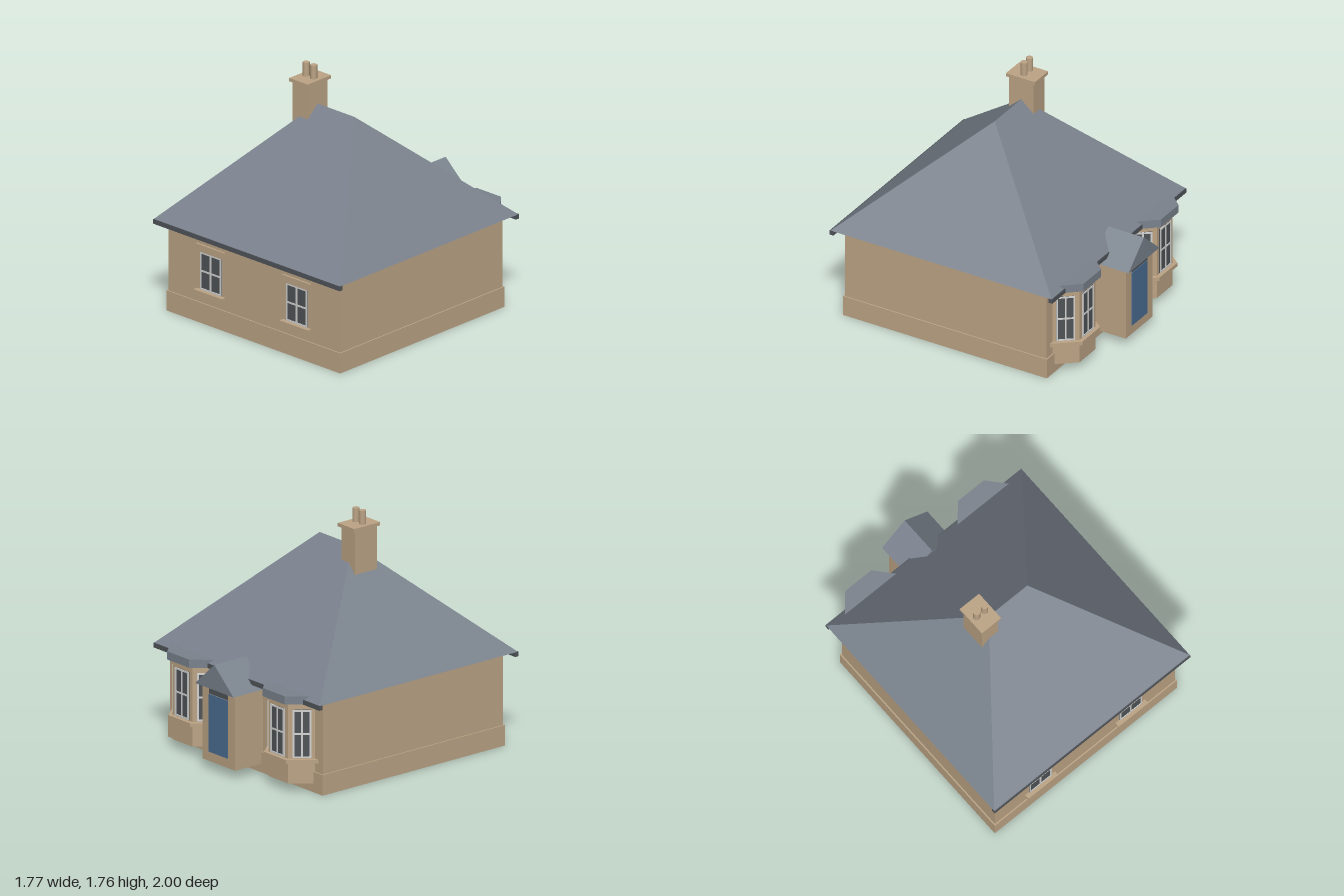
import * as THREE from 'three';

const mat = (name, color) => {
  const m = new THREE.MeshStandardMaterial({ color });
  m.name = name;
  return m;
};

export function createModel() {
  const house = new THREE.Group();
  house.name = 'cottage';
  const stone = mat('sandstone', 0xbca485);
  const slate = mat('slate', 0x7a828d);
  const gutterGrey = mat('gutter grey', 0x50555a);
  const glass = mat('window glass', 0x505458);
  const white = mat('window frame', 0xd2d2d0);
  const blue = mat('door blue', 0x4a6c92);

  const add = (parent, name, geometry, material) => {
    const mesh = new THREE.Mesh(geometry, material);
    mesh.name = name;
    parent.add(mesh);
    return mesh;
  };
  // Box given by its extents on each axis
  const box = (parent, name, material, x0, x1, y0, y1, z0, z1) => {
    const g = new THREE.BoxGeometry(x1 - x0, y1 - y0, z1 - z0);
    g.translate((x0 + x1) / 2, (y0 + y1) / 2, (z0 + z1) / 2);
    return add(parent, name, g, material);
  };

  // Sash window facing +z, centred on its own origin
  const sashWindow = (parent, w, h, x, y, z, turn = 0) => {
    const win = new THREE.Group();
    win.name = 'sashWindow';
    const b = 0.012, d = 0.009;
    box(win, 'pane', glass, -w / 2, w / 2, -h / 2, h / 2, -0.002, 0.004);
    for (const px of [-w / 2 + b / 2, 0, w / 2 - b / 2])
      box(win, 'upright', white, px - b / 2, px + b / 2, -h / 2, h / 2, 0, d);
    for (const py of [-h / 2 + b / 2, 0, h / 2 - b / 2])
      box(win, 'rail', white, -w / 2, w / 2, py - b / 2, py + b / 2, 0, d - 0.0005);
    win.position.set(x, y, z);
    win.rotation.y = turn;
    parent.add(win);
  };

  // Walls and plinth
  box(house, 'walls', stone, -0.815, 0.815, 0.1, 0.685, -0.71, 0.92);
  box(house, 'plinth', stone, -0.825, 0.825, 0, 0.15, -0.72, 0.93);

  // Hipped roof: four eave corners and two ridge ends
  const eave = 0.685, ridge = 1.48;
  const p = [
    [-0.885, eave, 0.995], [0.885, eave, 0.995], [0.885, eave, -0.795], [-0.885, eave, -0.795],
    [-0.175, ridge, 0.1], [0.175, ridge, 0.1],
  ];
  const faces = [0, 1, 5, 0, 5, 4, 1, 2, 5, 2, 3, 4, 2, 4, 5, 3, 0, 4, 0, 3, 2, 0, 2, 1];
  const roof = new THREE.BufferGeometry();
  roof.setAttribute('position', new THREE.Float32BufferAttribute(faces.flatMap(i => p[i]), 3));
  roof.computeVertexNormals();
  add(house, 'mainRoof', roof, slate);

  // Gutters along the front and back eaves
  box(house, 'frontGutter', gutterGrey, -0.885, 0.885, 0.652, 0.686, 0.97, 1.0);
  box(house, 'backGutter', gutterGrey, -0.885, 0.885, 0.652, 0.686, -0.8, -0.77);

  // Chimney stack, cap and pots
  box(house, 'chimneyStack', stone, -0.32, -0.175, 1.0, 1.64, 0, 0.2);
  box(house, 'chimneyCap', stone, -0.335, -0.16, 1.635, 1.66, -0.02, 0.215);
  for (const x of [-0.283, -0.212]) {
    const pot = add(house, 'chimneyPot', new THREE.CylinderGeometry(0.025, 0.025, 0.1, 16), stone);
    pot.position.set(x, 1.71, 0.1);
  }

  // Front windows with lintels and sills
  for (const x of [-0.408, 0.408]) {
    sashWindow(house, 0.2, 0.28, x, 0.39, 0.921);
    box(house, 'lintel', stone, x - 0.135, x + 0.135, 0.533, 0.585, 0.91, 0.935);
    box(house, 'sill', stone, x - 0.135, x + 0.135, 0.22, 0.248, 0.91, 0.957);
  }

  // Canted bays at the back: half widths at the wall and at the bay front
  const slab = (parent, name, material, wBack, wFront, zBack, zFront, y0, y1) => {
    const s = new THREE.Shape();
    s.moveTo(-wBack, -zBack);
    s.lineTo(wBack, -zBack);
    s.lineTo(wFront, -zFront);
    s.lineTo(-wFront, -zFront);
    const g = new THREE.ExtrudeGeometry(s, { depth: y1 - y0, bevelEnabled: false });
    g.rotateX(-Math.PI / 2);
    g.translate(0, y0, 0);
    add(parent, name, g, material);
  };
  for (const x of [-0.51, 0.51]) {
    const bay = new THREE.Group();
    bay.name = 'bayWindow';
    bay.position.x = x;
    slab(bay, 'bayWall', stone, 0.232, 0.105, -0.7, -0.855, 0.065, 0.66);
    slab(bay, 'baySill', stone, 0.262, 0.117, -0.705, -0.885, 0.217, 0.245);
    slab(bay, 'bayRoof', slate, 0.28, 0.117, -0.71, -0.895, 0.652, 0.712);
    sashWindow(bay, 0.145, 0.35, 0, 0.427, -0.856, Math.PI);
    for (const s of [-1, 1]) {
      const turn = s * Math.atan2(0.155, -0.127);
      sashWindow(bay, 0.13, 0.35, s * 0.167, 0.427, -0.7805, turn);
    }
    house.add(bay);
  }

  // Porch with gabled roof, door and fanlight
  box(house, 'porchWalls', stone, -0.175, 0.175, 0.065, 0.618, -0.96, -0.7);
  const gable = new THREE.Shape([
    new THREE.Vector2(-0.205, 0.615), new THREE.Vector2(0.205, 0.615), new THREE.Vector2(0, 0.8),
  ]);
  const porchRoof = new THREE.ExtrudeGeometry(gable, { depth: 0.29, bevelEnabled: false });
  porchRoof.translate(0, 0, -1);
  add(house, 'porchRoof', porchRoof, slate);
  box(house, 'door', blue, -0.1, 0.1, 0.135, 0.555, -0.967, -0.958);
  box(house, 'fanlight', glass, -0.1, 0.1, 0.56, 0.6, -0.965, -0.958);

  return house;
}
